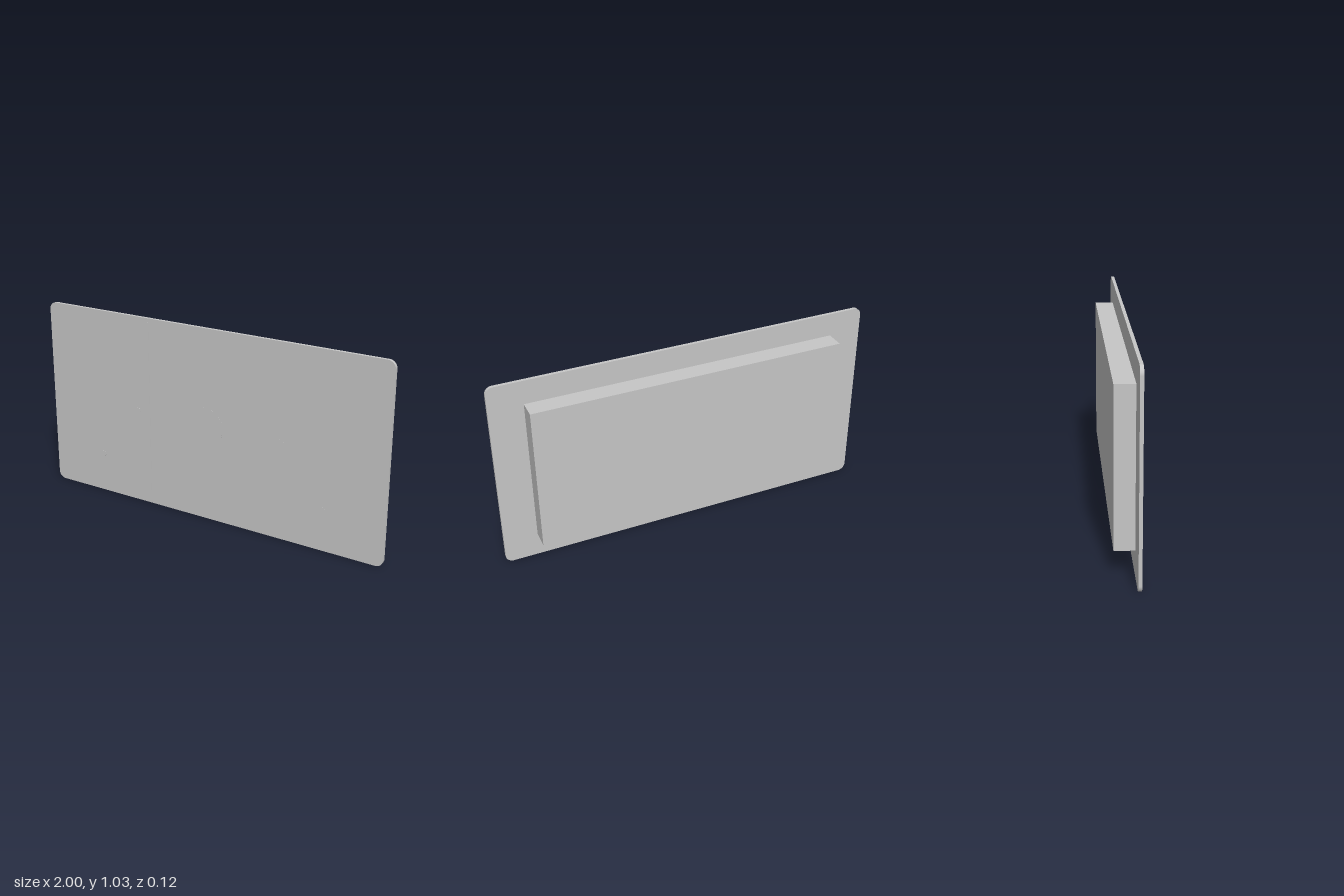
import * as THREE from 'three';

const W = 2, H = 1.03, FRONT = 0.057;

// Rounded rectangle outline standing on y = 0
function roundedRect(w, h, r) {
  const s = new THREE.Shape(), x = w / 2;
  s.moveTo(-x + r, 0);
  s.lineTo(x - r, 0);
  s.absarc(x - r, r, r, -Math.PI / 2, 0);
  s.lineTo(x, h - r);
  s.absarc(x - r, h - r, r, 0, Math.PI / 2);
  s.lineTo(-x + r, h);
  s.absarc(-x + r, h - r, r, Math.PI / 2, Math.PI);
  s.lineTo(-x, r);
  s.absarc(-x + r, r, r, Math.PI, Math.PI * 1.5);
  return s;
}

export function createModel() {
  const model = new THREE.Group();
  const grey = new THREE.MeshStandardMaterial({ color: 0xc6c6c6 });
  grey.name = 'light grey';

  const add = (name, geometry, x, y, z) => {
    const mesh = new THREE.Mesh(geometry, grey);
    mesh.name = name;
    mesh.position.set(x, y, z);
    model.add(mesh);
  };

  // Thin front plate with rounded corners
  add('frontPlate', new THREE.ExtrudeGeometry(roundedRect(W, H, 0.04), {
    depth: FRONT - 0.04, bevelEnabled: false, curveSegments: 8,
  }), 0, 0, 0.04);

  // Shallow box behind the plate
  add('rearBox', new THREE.BoxGeometry(1.65, 0.778, 0.098), 0, 0.516, -0.009);

  // Hairline divider on the face
  add('divider', new THREE.BoxGeometry(0.008, 0.99, 0.003), -0.353, H / 2, FRONT);

  // Very thin discs on the face
  const disc = (name, x, y, r) => {
    const g = new THREE.CylinderGeometry(r, r, 0.001, 32);
    g.rotateX(Math.PI / 2);
    add(name, g, x, y, FRONT);
  };
  disc('centreDisc', 0, H / 2, 0.1);
  for (const side of [-1, 1]) {
    disc('sideDisc', side * 0.43, H / 2, 0.02);
    for (const y of [0.22, 0.81]) disc('cornerSpot', side * 0.67, y, 0.016);
  }
  return model;
}
